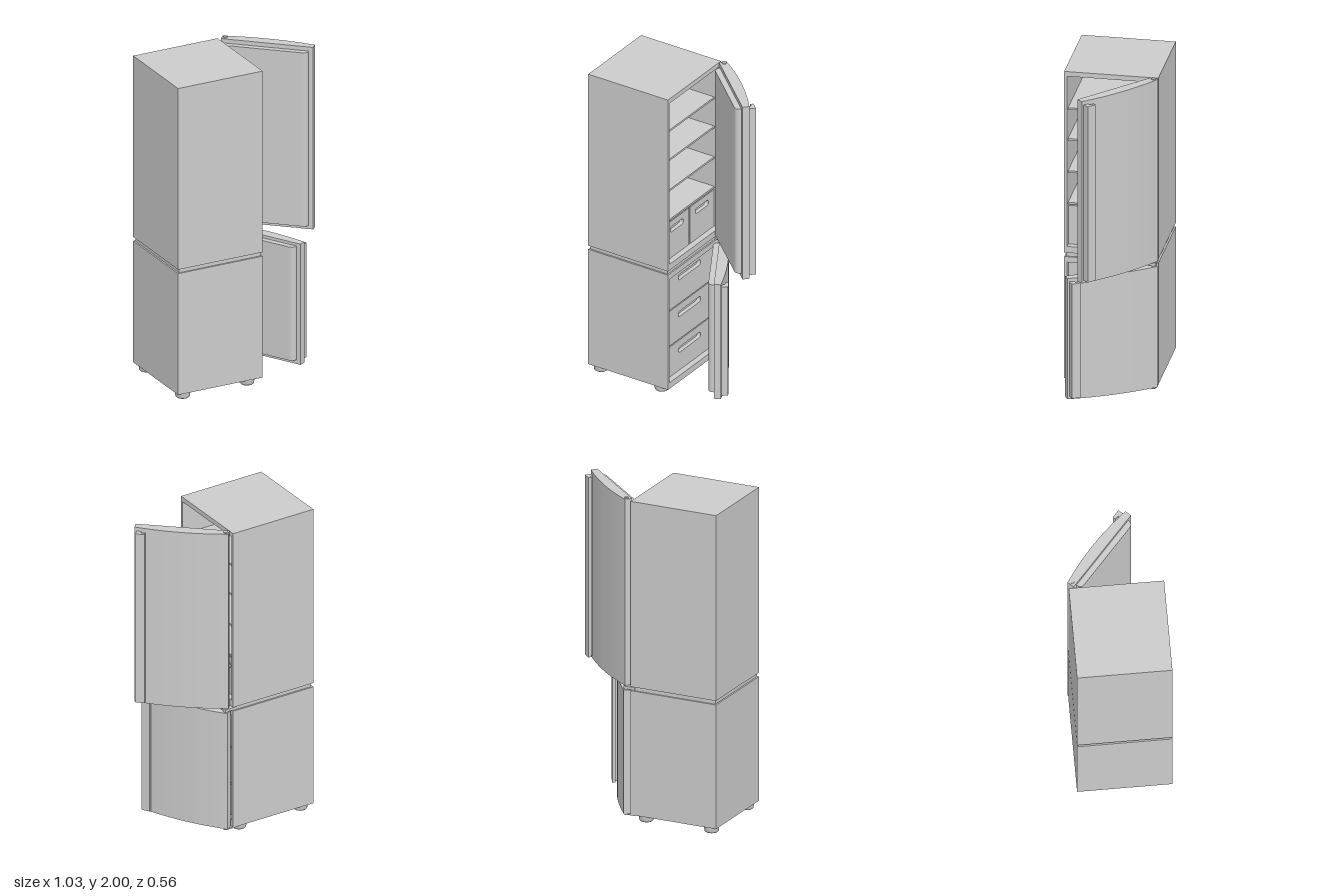
import * as THREE from 'three';

const mat = new THREE.MeshStandardMaterial({ color: 0xcccccc, side: THREE.DoubleSide });

function add(parent, name, geo, x = 0, y = 0, z = 0) {
  const m = new THREE.Mesh(geo, mat);
  m.name = name;
  m.position.set(x, y, z);
  parent.add(m);
  return m;
}

// Box given by its limits on each axis
function block(parent, name, x0, x1, y0, y1, z0, z1) {
  return add(parent, name, new THREE.BoxGeometry(x1 - x0, y1 - y0, z1 - z0),
    (x0 + x1) / 2, (y0 + y1) / 2, (z0 + z1) / 2);
}

function roundRect(s, x0, x1, y0, y1, r) {
  s.moveTo(x0 + r, y0);
  s.lineTo(x1 - r, y0); s.quadraticCurveTo(x1, y0, x1, y0 + r);
  s.lineTo(x1, y1 - r); s.quadraticCurveTo(x1, y1, x1 - r, y1);
  s.lineTo(x0 + r, y1); s.quadraticCurveTo(x0, y1, x0, y1 - r);
  s.lineTo(x0, y0 + r); s.quadraticCurveTo(x0, y0, x0 + r, y0);
  return s;
}

function rect(s, x0, x1, y0, y1) {
  s.moveTo(x0, y0); s.lineTo(x1, y0); s.lineTo(x1, y1); s.lineTo(x0, y1); s.closePath();
  return s;
}

// Shape drawn in (-z, y), extruded towards +x from x0
function plateX(parent, name, shape, x0, depth) {
  const geo = new THREE.ExtrudeGeometry(shape, { depth, bevelEnabled: false, curveSegments: 8 });
  geo.rotateY(Math.PI / 2);
  return add(parent, name, geo, x0, 0, 0);
}

// Plan outline in (u, v), extruded upwards from y0 to y1; v ends up along -z
function upright(parent, name, shape, y0, y1) {
  const geo = new THREE.ExtrudeGeometry(shape, { depth: y1 - y0, bevelEnabled: false, curveSegments: 16 });
  geo.rotateX(-Math.PI / 2);
  return add(parent, name, geo, 0, y0, 0);
}

// Hollow cabinet, open towards +x
function cabinet(parent, name, y0, y1, inner0, inner1) {
  const s = rect(new THREE.Shape(), -0.28, 0.28, y0, y1);
  s.holes.push(rect(new THREE.Path(), -0.263, 0.263, inner0, inner1));
  plateX(parent, name + 'Walls', s, -0.495, 0.54);
  block(parent, name + 'Back', -0.515, -0.495, y0, y1, -0.28, 0.28);
}

// Drawer with a rounded grip slot in its front
function drawer(parent, name, y0, y1, z0, z1, slotWidth, slotY) {
  const g = new THREE.Group();
  g.name = name;
  parent.add(g);
  const c = -(z0 + z1) / 2;
  const s = rect(new THREE.Shape(), -z1, -z0, y0, y1);
  s.holes.push(roundRect(new THREE.Path(), c - slotWidth / 2, c + slotWidth / 2, slotY - 0.018, slotY + 0.018, 0.017));
  plateX(g, 'drawerFront', s, -0.015, 0.025);
  block(g, 'drawerBin', -0.47, -0.016, y0 + 0.005, y1 - 0.01, z0 + 0.005, z1 - 0.005);
}

// Curved door with liner and hooked grip, swung about the hinge pin
function door(parent, name, y0, y1, liner0, liner1, grip0, grip1, degrees) {
  const g = new THREE.Group();
  g.name = name;
  g.position.set(0.083, 0, -0.257);
  g.rotation.y = -THREE.MathUtils.degToRad(degrees);
  parent.add(g);

  const panel = new THREE.Shape();
  panel.moveTo(-0.02, -0.027);
  panel.lineTo(0.537, -0.027);
  panel.lineTo(0.537, 0.014);
  panel.quadraticCurveTo(0.26, 0.062, -0.02, 0.018);
  panel.closePath();
  upright(g, 'doorPanel', panel, y0, y1);

  const liner = new THREE.Shape();
  liner.moveTo(0.005, -0.027);
  liner.quadraticCurveTo(0.005, -0.062, 0.035, -0.062);
  liner.lineTo(0.475, -0.062);
  liner.quadraticCurveTo(0.51, -0.062, 0.51, -0.027);
  liner.closePath();
  upright(g, 'doorLiner', liner, liner0, liner1);

  const grip = new THREE.Shape();
  [[0.495, 0.016], [0.525, 0.012], [0.525, 0.056], [0.47, 0.056], [0.47, 0.036], [0.495, 0.036]]
    .forEach(([u, v], i) => (i ? grip.lineTo(u, v) : grip.moveTo(u, v)));
  grip.closePath();
  upright(g, 'doorGrip', grip, grip0, grip1);
}

function fan(parent, y, z) {
  const g = new THREE.Group();
  g.name = 'fan';
  g.position.set(-0.474, y, z);
  g.rotation.y = Math.PI / 2;
  parent.add(g);
  add(g, 'fanRing', new THREE.TorusGeometry(0.066, 0.005, 8, 32));
  add(g, 'fanHub', new THREE.CylinderGeometry(0.014, 0.014, 0.016, 16).rotateX(Math.PI / 2));
  for (let i = 0; i < 4; i++) {
    const blade = new THREE.BoxGeometry(0.045, 0.02, 0.004);
    blade.rotateX(0.4).translate(0.036, 0, 0.002).rotateZ(i * Math.PI / 2);
    add(g, 'fanBlade', blade);
  }
}

export function createModel() {
  const model = new THREE.Group();
  model.name = 'refrigerator';

  // Body
  cabinet(model, 'fridge', 0.835, 1.985, 0.875, 1.955);
  cabinet(model, 'freezer', 0.04, 0.81, 0.08, 0.775);
  block(model, 'neck', -0.505, 0.036, 0.81, 0.835, -0.27, 0.27);

  // Shelves, with raised panels on the back wall between them
  const shelves = [1.135, 1.335, 1.54, 1.735];
  shelves.forEach((y, i) => {
    block(model, 'shelf', -0.495, 0.01, y - 0.006, y + 0.006, -0.263, 0.263);
    if (i < 3) {
      const s = roundRect(new THREE.Shape(), -0.238, 0.238, y + 0.02, shelves[i + 1] - 0.02, 0.03);
      plateX(model, 'backPanel', s, -0.497, 0.012);
    }
  });

  // Fans in the top compartment
  block(model, 'fanPanel', -0.496, -0.477, 1.765, 1.92, -0.238, 0.238);
  for (const side of [-1, 1]) fan(model, 1.845, side * 0.157);

  // Drawers
  for (const side of [-1, 1]) {
    const z = [side * 0.004, side * 0.261].sort((a, b) => a - b);
    drawer(model, 'crisperDrawer', 0.877, 1.122, z[0], z[1], 0.135, 1.065);
  }
  [[0.082, 0.283], [0.29, 0.523], [0.53, 0.77]].forEach(([a, b]) =>
    drawer(model, 'freezerDrawer', a, b, -0.26, 0.26, 0.235, b - 0.065));

  // Doors
  door(model, 'fridgeDoor', 0.838, 1.993, 0.865, 1.967, 0.855, 1.97, 42);
  door(model, 'freezerDoor', 0.042, 0.808, 0.07, 0.79, 0.06, 0.787, 60);

  // Hinges
  for (const [y0, y1] of [[0.814, 0.83], [0.034, 0.041]])
    block(model, 'hingeBracket', 0.02, 0.095, y0, y1, -0.275, -0.228);
  for (const [y0, y1] of [[1.98, 2.0], [0.8, 0.845], [0.03, 0.05]])
    add(model, 'hingePin', new THREE.CylinderGeometry(0.013, 0.013, y1 - y0, 20), 0.083, (y0 + y1) / 2, -0.257);

  // Feet
  const footProfile = [[0, 0], [0.036, 0], [0.042, 0.006], [0.045, 0.03], [0.045, 0.045], [0, 0.045]]
    .map(([r, y]) => new THREE.Vector2(r, y));
  for (const x of [-0.458, -0.032])
    for (const z of [-0.224, 0.228])
      add(model, 'foot', new THREE.LatheGeometry(footProfile, 24), x, 0, z);

  return model;
}
